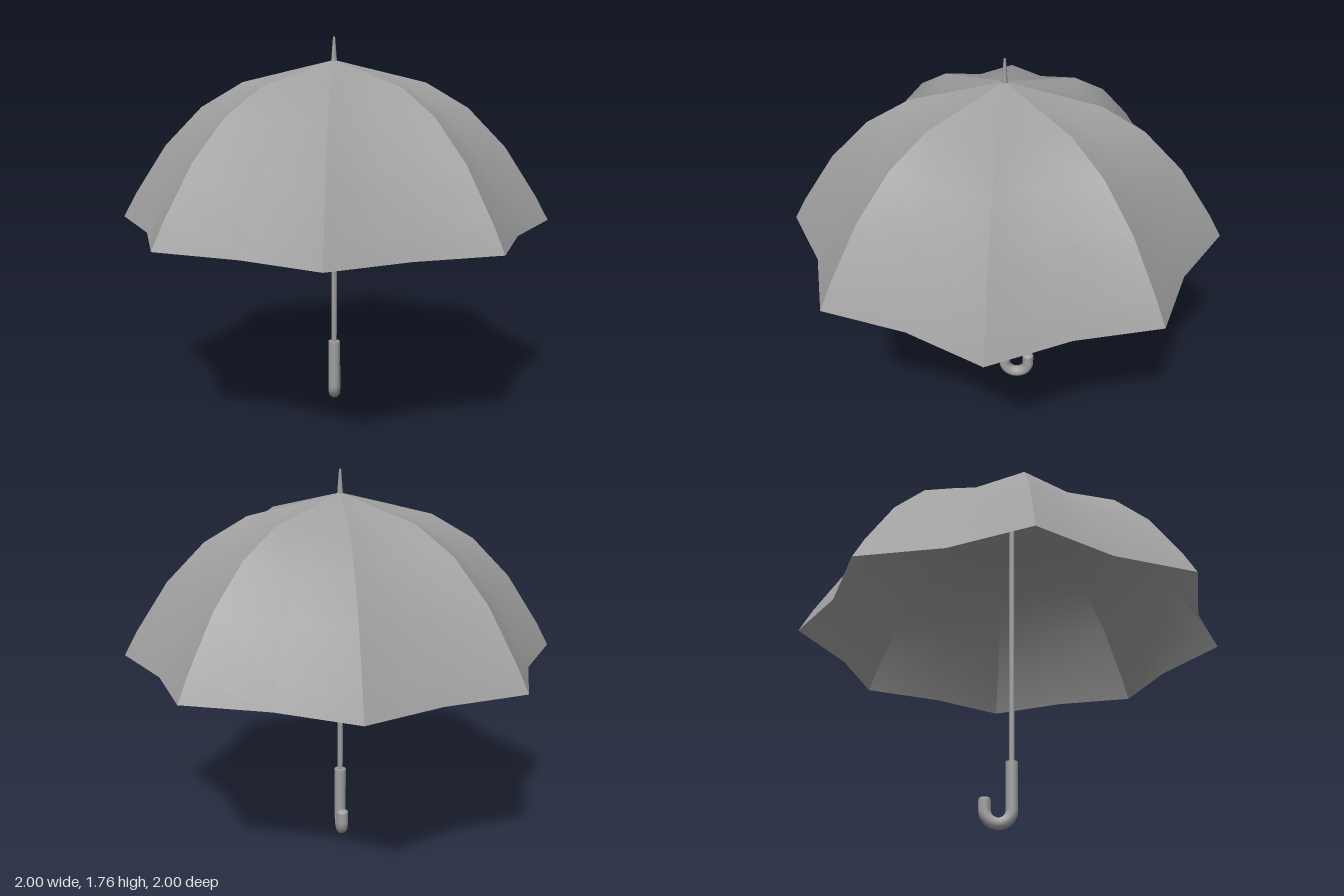
import * as THREE from 'three';

export function createModel() {
  const group = new THREE.Group();
  const grey = new THREE.MeshStandardMaterial({ color: 0xa0a0a0, side: THREE.DoubleSide });
  grey.name = 'plain grey';

  const add = (name, geometry, x = 0, y = 0, z = 0) => {
    const mesh = new THREE.Mesh(geometry, grey);
    mesh.name = name;
    mesh.position.set(x, y, z);
    group.add(mesh);
    return mesh;
  };

  // Canopy: rib profile as [radius, height, sag of the cloth between ribs]
  const rings = [
    [0.42, 1.555, 0.017], [0.615, 1.44, 0.015], [0.79, 1.26, 0.012],
    [0.94, 1.03, 0.007], [1, 0.92, 0.004],
  ];
  const RIBS = 8, step = Math.PI * 2 / RIBS, pinch = 0.878;

  // One panel: left rib, pinched middle, right rib; facing outwards along +z
  const positions = [0, 1.656, 0];
  const indices = [];
  rings.forEach(([r, y, sag], i) => {
    for (let j = -1; j <= 1; j++) {
      const a = j * step / 2, radius = j ? r : r * pinch;
      positions.push(Math.sin(a) * radius, j ? y : y - sag, Math.cos(a) * radius);
    }
    const row = 1 + i * 3;
    for (let j = 0; j < 2; j++) {
      const c = row + j;
      if (i === 0) indices.push(0, c, c + 1);
      else indices.push(c - 3, c, c + 1, c - 3, c + 1, c - 2);
    }
  });
  const panel = new THREE.BufferGeometry();
  panel.setAttribute('position', new THREE.Float32BufferAttribute(positions, 3));
  panel.setIndex(indices);
  panel.computeVertexNormals();
  for (let i = 0; i < RIBS; i++) add('canopyPanel', panel).rotation.y = (i + 0.5) * step;

  // Shaft and pointed tip
  add('shaft', new THREE.CylinderGeometry(0.013, 0.013, 1.37, 8), 0, 0.965, 0);
  add('tip', new THREE.CylinderGeometry(0.005, 0.014, 0.115, 8), 0, 1.7025, 0);

  // Hooked handle: straight grip, half-circle bend and short end
  const R = 0.028, bend = 0.06, bendY = 0.088, endY = 0.133, gripTop = 0.31;
  const straight = (name, top) => {
    const h = top - bendY;
    return add(name, new THREE.CylinderGeometry(R, R, h, 12), 0, bendY + h / 2, 0);
  };
  straight('handleGrip', gripTop);
  straight('handleEnd', endY).position.z = -2 * bend;
  const hook = add('handleHook', new THREE.TorusGeometry(bend, R, 12, 14, Math.PI), 0, bendY, -bend);
  hook.rotation.set(0, Math.PI / 2, Math.PI, 'YXZ');
  const cap = add('handleCap', new THREE.SphereGeometry(R, 12, 5, 0, Math.PI * 2, 0, Math.PI / 2), 0, endY, -2 * bend);
  cap.scale.y = 0.5;

  return group;
}
